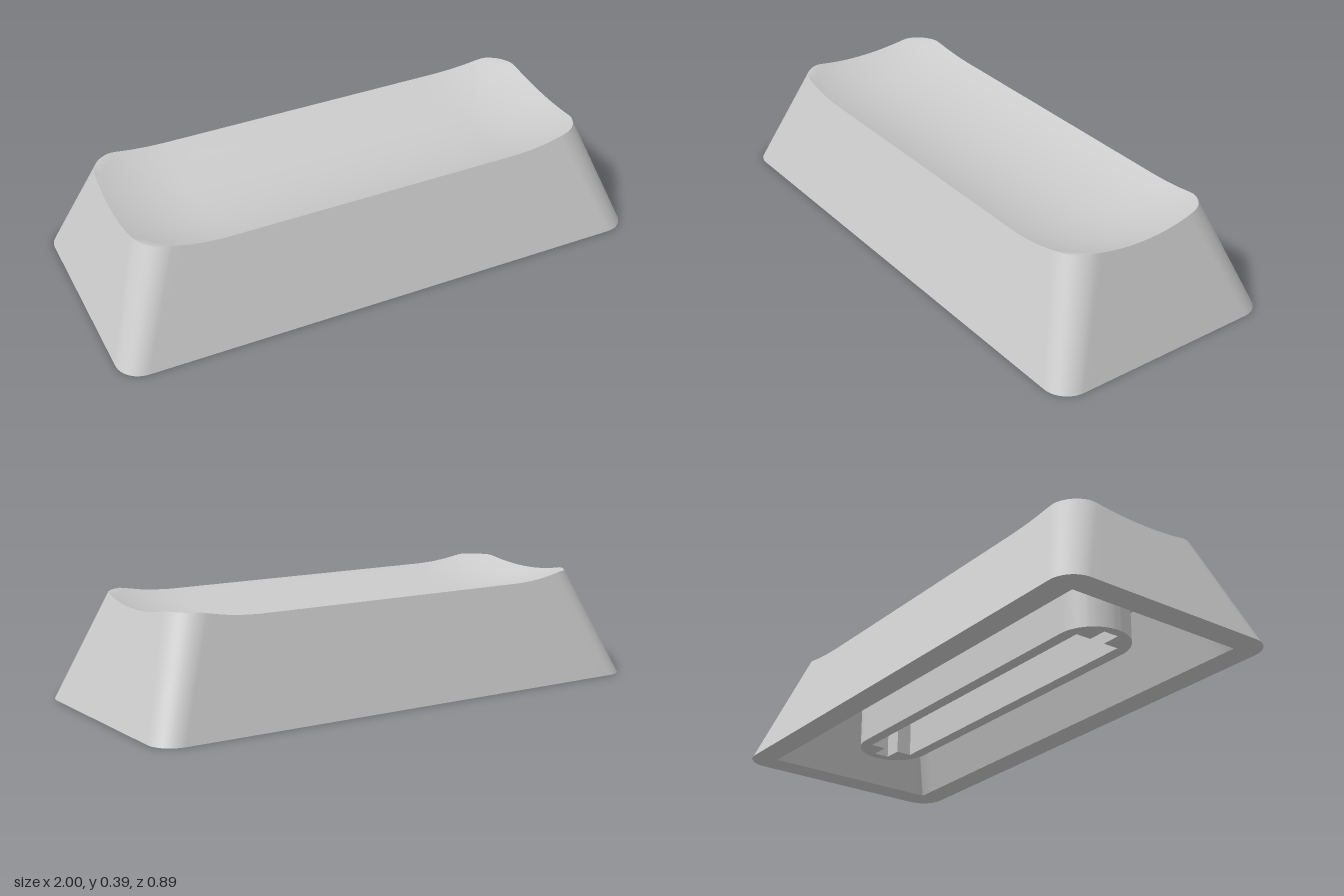
import * as THREE from 'three';
import { toCreasedNormals } from 'three/addons/utils/BufferGeometryUtils.js';

const H = 0.392;        // height of the four corner peaks
const SPINE = 0.55;     // half length of the straight part of the dish
const DISH_Y = 0.314, DISH_R = 0.92;

// Rounded rectangle in the xz plane with a fixed number of points
function outline(hx, hz, r, y = 0) {
  const arcs = [[1, 1], [-1, 1], [-1, -1], [1, -1]].map(([sx, sz], q) =>
    Array.from({ length: 13 }, (_, i) => {
      const a = (q + i / 12) * Math.PI / 2;
      return new THREE.Vector3(sx * (hx - r) + r * Math.cos(a), y, sz * (hz - r) + r * Math.sin(a));
    }));
  const pts = [];
  arcs.forEach((arc, q) => {
    pts.push(...arc);
    const from = arc[12], to = arcs[(q + 1) % 4][0];
    for (let i = 1; i < 24; i++) pts.push(from.clone().lerp(to, i / 24));
  });
  return pts;
}

// Skin over closed rings with equal point counts
function loft(rings) {
  const n = rings[0].length, index = [];
  for (let j = 0; j < rings.length - 1; j++) {
    for (let i = 0; i < n; i++) {
      const a = j * n + i, b = j * n + (i + 1) % n;
      index.push(a, a + n, b, b, a + n, b + n);
    }
  }
  const geo = new THREE.BufferGeometry().setFromPoints(rings.flat());
  geo.setIndex(index);
  geo.computeVertexNormals();
  return geo;
}

// Trough with spherical ends, cut off at the peak height
const spineX = x => THREE.MathUtils.clamp(x, -SPINE, SPINE);
function dishHeight(x, z) {
  const d2 = (x - spineX(x)) ** 2 + z * z;
  return Math.min(H, DISH_Y + DISH_R - Math.sqrt(DISH_R ** 2 - d2));
}

export function createModel() {
  const group = new THREE.Group();
  const material = new THREE.MeshStandardMaterial({ color: 0xcccccc });
  const add = (name, geo) => {
    const mesh = new THREE.Mesh(geo, material);
    mesh.name = name;
    group.add(mesh);
  };

  // Sloping outer walls, ending where they meet the dish
  const base = outline(1, 0.445, 0.09);
  const peak = outline(0.855, 0.3, 0.11, H);
  const rim = base.map((p, i) => {
    const v = peak[i].clone();
    for (let k = 0; k < 12; k++) v.lerpVectors(p, peak[i], dishHeight(v.x, v.z) / H);
    return v;
  });
  add('outerWalls', loft([base, rim]));

  // Dished top, from the rim in to the spine
  const topRings = [];
  for (let j = 0; j <= 24; j++) {
    topRings.push(rim.map(p => {
      const v = p.clone().lerp(new THREE.Vector3(spineX(p.x), 0, 0), j / 24);
      if (j > 0) v.y = dishHeight(v.x, v.z);
      return v;
    }));
  }
  add('dishedTop', loft(topRings));

  // Bottom edge and hollow inside
  const mouth = outline(0.905, 0.35, 0.004);
  const ceiling = outline(0.81, 0.255, 0.004, 0.26);
  const ceilingMiddle = ceiling.map(p => new THREE.Vector3(spineX(p.x), 0.26, 0));
  add('bottomEdge', loft([mouth, base]));
  add('innerWalls', toCreasedNormals(loft([ceiling, mouth]), 0.6));
  add('ceiling', loft([ceilingMiddle, ceiling]));

  // Long stem with round ends and a slot that narrows at both ends
  const L = 0.59, R = 0.136;
  const stem = new THREE.Shape();
  stem.absarc(L, 0, R, -Math.PI / 2, Math.PI / 2);
  stem.absarc(-L, 0, R, Math.PI / 2, Math.PI * 1.5);
  stem.closePath();
  const half = [[0.62, -0.09], [0.62, -0.03], [0.69, -0.03], [0.69, 0.03], [0.62, 0.03], [0.62, 0.09]];
  const slot = [...half, ...half.map(([x, z]) => [-x, -z])];
  stem.holes.push(new THREE.Path(slot.map(([x, z]) => new THREE.Vector2(x, z))));
  const stemGeo = new THREE.ExtrudeGeometry(stem, { depth: 0.235, bevelEnabled: false, curveSegments: 24 });
  stemGeo.rotateX(-Math.PI / 2).translate(0, 0.035, 0);
  add('stem', toCreasedNormals(stemGeo, 0.5));

  return group;
}
